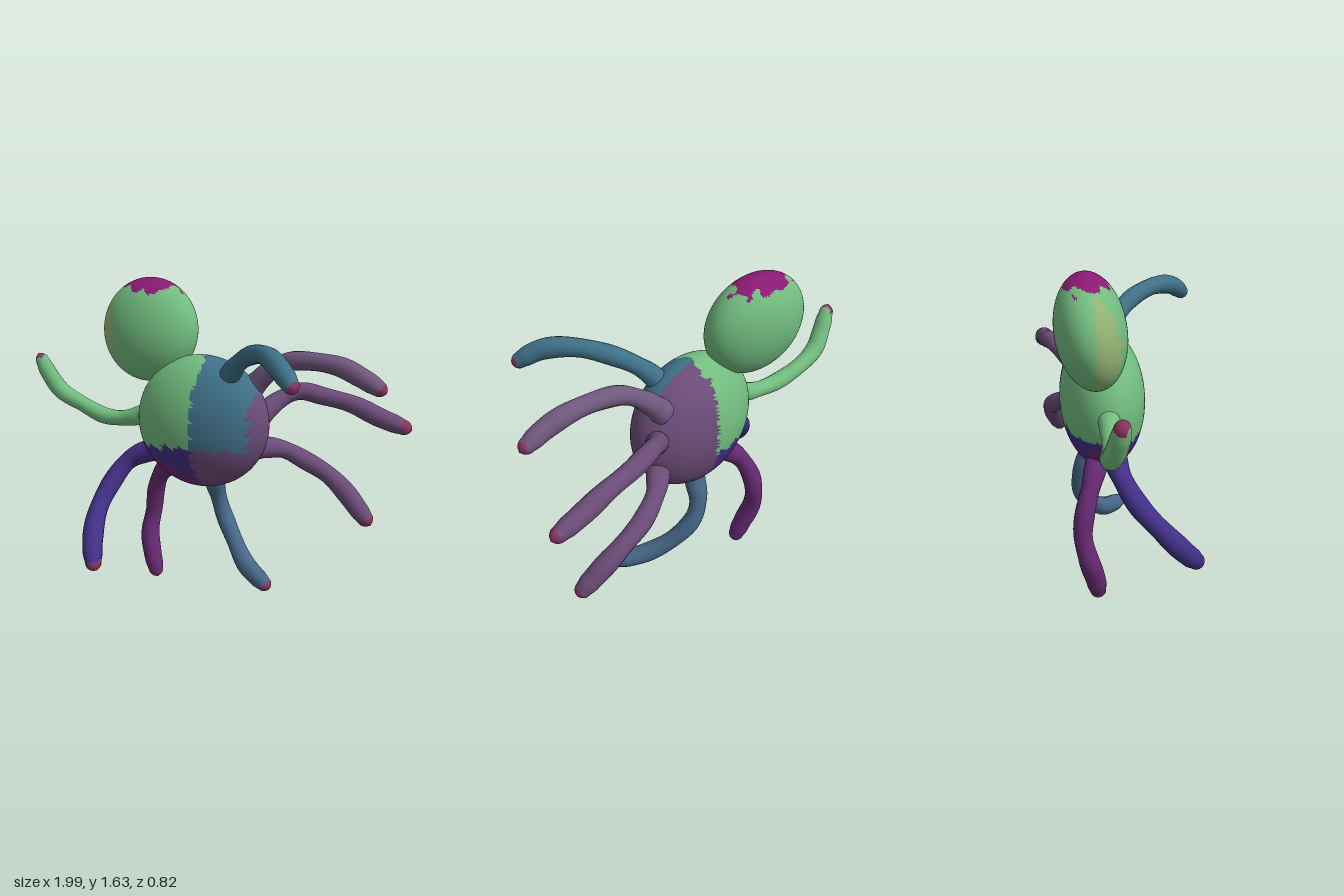
import * as THREE from 'three';
import { mergeVertices } from 'three/addons/utils/BufferGeometryUtils.js';

const GREEN = 0x72bd80, OLIVE = 0x94b474, BLUE = 0x3f7088, MAUVE = 0x6c4c78;
const VIOLET = 0x433088, PLUM = 0x662a72, MAGENTA = 0x8a1a74, TIP = 0x8c3560;

// Splits a smooth surface into one mesh per colour; pick(point) names the colour of a triangle.
function paintedPart(name, geometry, pick) {
  const flat = geometry.toNonIndexed();
  const pos = flat.attributes.position, nor = flat.attributes.normal;
  const patches = new Map();
  const c = new THREE.Vector3(), v = new THREE.Vector3();
  for (let i = 0; i < pos.count; i += 3) {
    c.set(0, 0, 0);
    for (let k = 0; k < 3; k++) c.addScaledVector(v.fromBufferAttribute(pos, i + k), 1 / 3);
    const color = pick(c);
    if (!patches.has(color)) patches.set(color, { p: [], n: [] });
    const patch = patches.get(color);
    for (let k = i; k < i + 3; k++) {
      patch.p.push(pos.getX(k), pos.getY(k), pos.getZ(k));
      patch.n.push(nor.getX(k), nor.getY(k), nor.getZ(k));
    }
  }
  const group = new THREE.Group();
  group.name = name;
  for (const [color, { p, n }] of patches) {
    const g = new THREE.BufferGeometry();
    g.setAttribute('position', new THREE.Float32BufferAttribute(p, 3));
    g.setAttribute('normal', new THREE.Float32BufferAttribute(n, 3));
    const mesh = new THREE.Mesh(g, new THREE.MeshStandardMaterial({ color }));
    mesh.name = name + 'Patch';
    group.add(mesh);
  }
  return group;
}

function ellipsoid(radii, tilt, centre) {
  const g = new THREE.SphereGeometry(1, 72, 54);
  g.scale(...radii);
  g.rotateX(tilt[0]);
  g.rotateY(tilt[1]);
  g.translate(...centre);
  return g;
}

// Ragged offset for the borders between colours
const ragged = (p) => 0.012 * Math.sin(p.x * 61 + p.z * 37) + 0.01 * Math.sin(p.y * 83 + p.z * 71);

// Limb thickness from flared root to swollen, rounded end
const THICKNESS = [[0, 0.062], [0.1, 0.052], [0.25, 0.042], [0.4, 0.046], [0.55, 0.043],
  [0.75, 0.049], [0.88, 0.046], [0.96, 0.037], [1, 0.029]];
function thickness(t) {
  let i = 0;
  while (i < THICKNESS.length - 2 && t > THICKNESS[i + 1][0]) i++;
  const [t0, r0] = THICKNESS[i], [t1, r1] = THICKNESS[i + 1];
  return THREE.MathUtils.lerp(r0, r1, THREE.MathUtils.smoothstep(t, t0, t1));
}

function limb(name, color, points, girth = 1) {
  const curve = new THREE.CatmullRomCurve3(points.map((p) => new THREE.Vector3(...p)));
  const rings = 80, sides = 16, length = curve.getLength();
  const tube = new THREE.TubeGeometry(curve, rings, 1, sides);
  const pos = tube.attributes.position, v = new THREE.Vector3();
  for (let i = 0; i <= rings; i++) {
    const t = i / rings, centre = curve.getPointAt(t);
    const fromEnd = Math.min(1, (1 - t) * length / 0.04);
    const r = girth * thickness(t) * Math.sqrt(1 - (1 - fromEnd) ** 2);
    for (let j = 0; j <= sides; j++) {
      const k = i * (sides + 1) + j;
      v.fromBufferAttribute(pos, k).sub(centre).multiplyScalar(r).add(centre);
      pos.setXYZ(k, v.x, v.y, v.z);
    }
  }
  tube.deleteAttribute('uv');
  tube.deleteAttribute('normal');
  const smooth = mergeVertices(tube, 1e-5);
  smooth.computeVertexNormals();
  const end = curve.getPoint(1);
  return paintedPart(name, smooth, (p) => (p.distanceTo(end) < 0.045 + ragged(p) ? TIP : color));
}

export function createModel() {
  const model = new THREE.Group();
  model.name = 'eightLimbedCreature';

  // Flattened round body in patches of colour
  model.add(paintedPart('body', ellipsoid([0.345, 0.34, 0.205], [0, 0], [-0.015, 0.95, -0.145]), (p) => {
    const e = ragged(p);
    if (p.x + e > 0.27) return MAUVE;
    if (p.x + e > 0) return p.z > -0.17 && p.y + e > 0.85 ? BLUE : MAUVE;
    if (p.y + e > 0.85 + 0.12 * Math.min(0, p.x + 0.1)) return GREEN;
    return p.y + e + 0.3 * p.x > 0.7 ? VIOLET : PLUM;
  }));

  // Head resting on the shoulder, with a dark crown
  model.add(paintedPart('head', ellipsoid([0.267, 0.263, 0.16], [-0.15, -0.15], [-0.337, 1.382, -0.23]), (p) => {
    const e = ragged(p);
    if (p.y + e > 1.592) return MAGENTA;
    return p.x + e < -0.5 && p.z > -0.24 ? OLIVE : GREEN;
  }));

  // Limbs, from the raised arm round to the forward upper one
  model.add(
    limb('raisedArm', GREEN, [[-0.29, 0.98, -0.15], [-0.42, 0.925, -0.16], [-0.58, 0.91, -0.18],
      [-0.75, 0.96, -0.21], [-0.86, 1.015, -0.21], [-0.92, 1.1, -0.195], [-0.975, 1.22, -0.18]], 0.95),
    limb('forwardLowerLimb', VIOLET, [[-0.25, 0.79, -0.13], [-0.41, 0.71, -0.11], [-0.49, 0.59, -0.04],
      [-0.52, 0.46, 0.07], [-0.5, 0.34, 0.17], [-0.445, 0.225, 0.27]], 1.1),
    limb('longLowerLimb', PLUM, [[-0.17, 0.72, -0.18], [-0.28, 0.62, -0.23], [-0.335, 0.5, -0.27],
      [-0.355, 0.38, -0.285], [-0.37, 0.25, -0.26], [-0.345, 0.14, -0.23], [-0.305, 0.01, -0.205]], 1.05),
    limb('bottomLimb', 0x466888, [[0.015, 0.68, -0.19], [0.03, 0.53, -0.25], [0.065, 0.42, -0.25],
      [0.14, 0.31, -0.2], [0.23, 0.22, -0.12], [0.31, 0.185, -0.06], [0.4, 0.165, 0.01]]),
    limb('lowerSideLimb', MAUVE, [[0.24, 0.83, -0.19], [0.36, 0.8, -0.3], [0.48, 0.735, -0.345],
      [0.6, 0.67, -0.35], [0.7, 0.59, -0.33], [0.76, 0.53, -0.31], [0.835, 0.455, -0.285]], 1.05),
    limb('middleSideLimb', MAUVE, [[0.25, 0.97, -0.19], [0.34, 1.06, -0.29], [0.43, 1.1, -0.345],
      [0.55, 1.08, -0.365], [0.7, 1.05, -0.37], [0.83, 1.0, -0.365], [0.995, 0.95, -0.36]]),
    limb('upperSideLimb', 0x70587e, [[0.22, 1.13, -0.2], [0.33, 1.24, -0.18], [0.42, 1.29, -0.15],
      [0.55, 1.305, -0.125], [0.68, 1.295, -0.105], [0.78, 1.26, -0.085], [0.91, 1.195, -0.07]]),
    limb('forwardUpperLimb', BLUE, [[0.11, 1.16, -0.11], [0.19, 1.27, -0.05], [0.28, 1.34, 0.03],
      [0.4, 1.38, 0.17], [0.5, 1.36, 0.29], [0.605, 1.28, 0.39]]),
  );
  return model;
}
